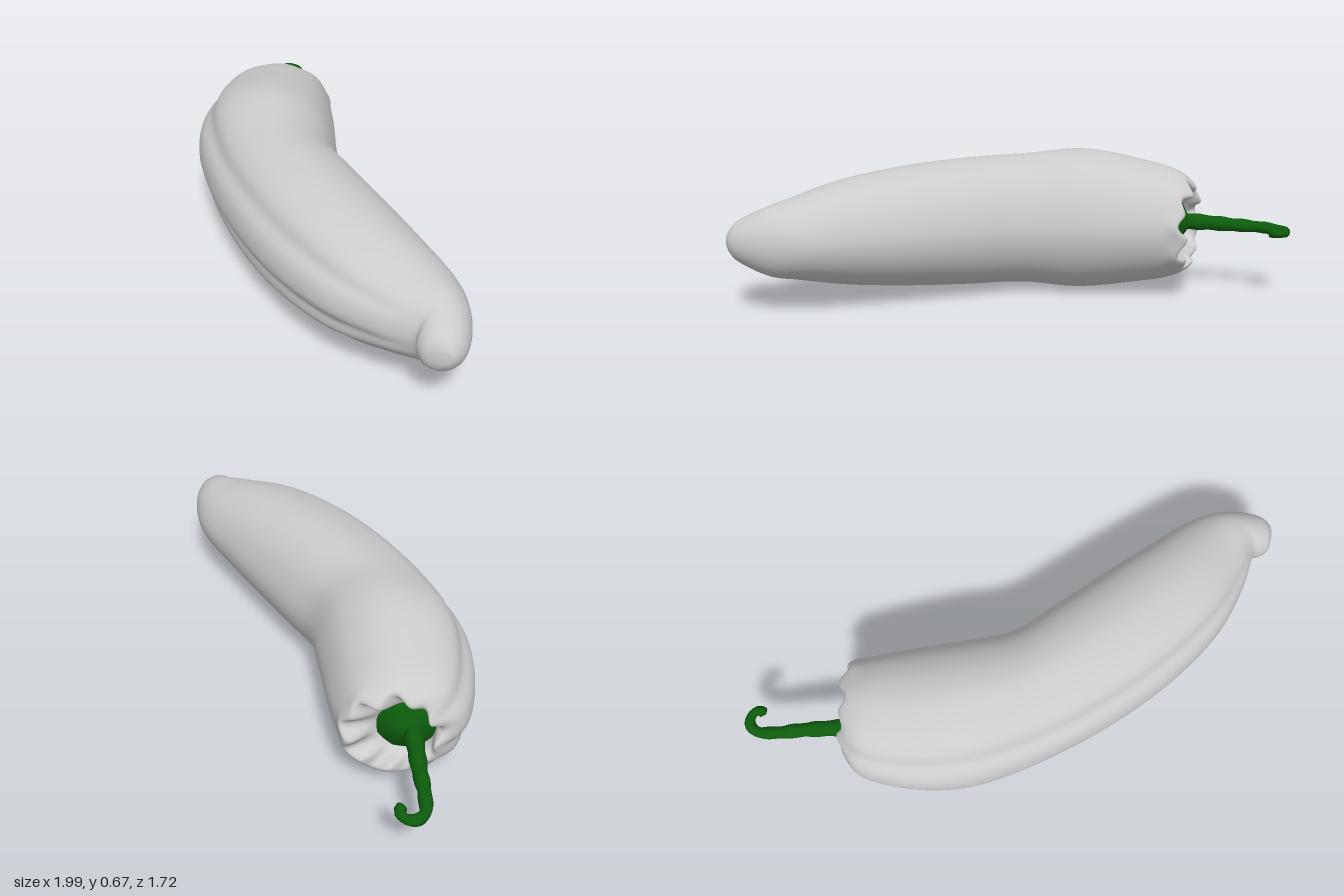
import * as THREE from 'three';

const MID_Y = 0.335;

// Skin a list of closed rings (arrays of Vector3) with shared, smooth vertices
function loft(rings) {
  const n = rings[0].length, pos = [], idx = [];
  for (const ring of rings) for (const p of ring) pos.push(p.x, p.y, p.z);
  for (let i = 0; i < rings.length - 1; i++) {
    for (let j = 0; j < n; j++) {
      const k = (j + 1) % n;
      const a = i * n + j, b = a + n, c = i * n + k, d = c + n;
      idx.push(a, b, c, c, b, d);
    }
  }
  const g = new THREE.BufferGeometry();
  g.setAttribute('position', new THREE.Float32BufferAttribute(pos, 3));
  g.setIndex(idx);
  g.computeVertexNormals();
  return g;
}

// Cross-sections from calyx to tip: outer x, z, inner x, z, half height
const SECTIONS = [
  [-0.82, -0.32, -0.62, -0.41, 0.11],
  [-0.84, -0.37, -0.58, -0.48, 0.14],
  [-0.87, -0.40, -0.51, -0.56, 0.19],
  [-0.93, -0.29, -0.45, -0.50, 0.25],
  [-0.89, -0.08, -0.35, -0.38, 0.295],
  [-0.76, 0.16, -0.20, -0.18, 0.335],
  [-0.50, 0.40, -0.05, 0.00, 0.312],
  [-0.20, 0.60, 0.15, 0.11, 0.302],
  [0.10, 0.745, 0.38, 0.23, 0.28],
  [0.40, 0.83, 0.62, 0.36, 0.24],
  [0.65, 0.835, 0.81, 0.47, 0.185],
  [0.81, 0.815, 0.91, 0.57, 0.15],
  [0.83, 0.84, 0.97, 0.67, 0.12],
  [0.865, 0.86, 0.995, 0.76, 0.085],
  [0.91, 0.855, 0.98, 0.82, 0.04],
  [0.949, 0.842, 0.951, 0.841, 0.001],
];

// Lengthwise grooves: angle from the outer side in degrees, depth, width
const GROOVES = [[-15, 0.085, 8], [33, 0.06, 9], [-45, 0.05, 9], [75, 0.015, 12], [-85, 0.02, 12], [160, 0.02, 16]];

function bodyGeometry() {
  const outer = new THREE.CatmullRomCurve3(SECTIONS.map(s => new THREE.Vector3(s[0], s[4], s[1])));
  const inner = new THREE.CatmullRomCurve3(SECTIONS.map(s => new THREE.Vector3(s[2], s[4], s[3])));
  const steps = 100, sides = 96, last = SECTIONS.length - 1, rings = [];
  for (let i = 0; i <= steps; i++) {
    const t = i / steps, u = t * last;
    const o = outer.getPoint(t), q = inner.getPoint(t);
    const c = o.clone().add(q).multiplyScalar(0.5);
    const h = o.clone().sub(q).multiplyScalar(0.5);
    const fade = THREE.MathUtils.smoothstep(u, 1.5, 3) * (1 - THREE.MathUtils.smoothstep(u, 8.5, 11.5));
    const rim = Math.exp(-(((u - 1.8) / 0.8) ** 2));
    const ring = [];
    for (let j = 0; j < sides; j++) {
      const a = (j / sides) * Math.PI * 2;
      let k = 1;
      for (const [deg, depth, width] of GROOVES) {
        let d = THREE.MathUtils.radToDeg(a) - deg;
        d -= 360 * Math.round(d / 360);
        k -= depth * fade * Math.exp(-((d / width) ** 2));
      }
      // puckered rim around the calyx
      const lump = Math.sin(9 * a) + 0.5 * Math.sin(5 * a + 1);
      k += 0.06 * rim * lump;
      ring.push(new THREE.Vector3(
        c.x + h.x * Math.cos(a) * k + 0.006 * rim * lump,
        MID_Y + Math.max(o.y, 0.001) * Math.sin(a) * k,
        c.z + h.z * Math.cos(a) * k + 0.015 * rim * lump));
    }
    rings.push(ring);
  }
  return loft(rings);
}

// Tapered stem with a hooked end
function stemGeometry() {
  const curve = new THREE.CatmullRomCurve3([
    [-0.72, 0.335, -0.35], [-0.78, 0.335, -0.45], [-0.87, 0.33, -0.60], [-0.935, 0.325, -0.70],
    [-0.97, 0.32, -0.78], [-0.955, 0.32, -0.825], [-0.915, 0.322, -0.838], [-0.885, 0.325, -0.82],
    [-0.885, 0.325, -0.785],
  ].map(p => new THREE.Vector3(...p)));
  const steps = 48, sides = 12, rings = [];
  const { normals, binormals } = curve.computeFrenetFrames(steps);
  for (let i = 0; i <= steps; i++) {
    const t = i / steps, c = curve.getPointAt(t);
    const end = i === 0 || i === steps;
    const r = end ? 0.001 : THREE.MathUtils.lerp(0.043, 0.022, Math.min(1, t * 1.15)) + 0.002 * Math.sin(t * 40);
    rings.push(Array.from({ length: sides }, (_, j) => {
      const a = (-j / sides) * Math.PI * 2;
      return c.clone().addScaledVector(normals[i], r * Math.cos(a)).addScaledVector(binormals[i], r * Math.sin(a));
    }));
  }
  return loft(rings);
}

export function createModel() {
  const group = new THREE.Group();
  const skin = new THREE.MeshStandardMaterial({ color: 0xcccccc, side: THREE.DoubleSide });
  const green = new THREE.MeshStandardMaterial({ color: 0x0d5c0d, side: THREE.DoubleSide });
  const add = (name, geometry, material) => {
    const mesh = new THREE.Mesh(geometry, material);
    mesh.name = name;
    group.add(mesh);
    return mesh;
  };

  add('pepperBody', bodyGeometry(), skin);
  add('stem', stemGeometry(), green);

  // Calyx: shallow cap set inside the puckered rim
  const profile = [[0.15, -0.03], [0.14, 0], [0.09, 0.02], [0.04, 0.05], [0.001, 0.06]];
  const calyx = add('calyx', new THREE.LatheGeometry(profile.map(p => new THREE.Vector2(...p)), 8), green);
  calyx.position.set(-0.715, MID_Y, -0.385);
  calyx.quaternion.setFromUnitVectors(new THREE.Vector3(0, 1, 0), new THREE.Vector3(-0.4, 0, -0.92).normalize());
  return group;
}
